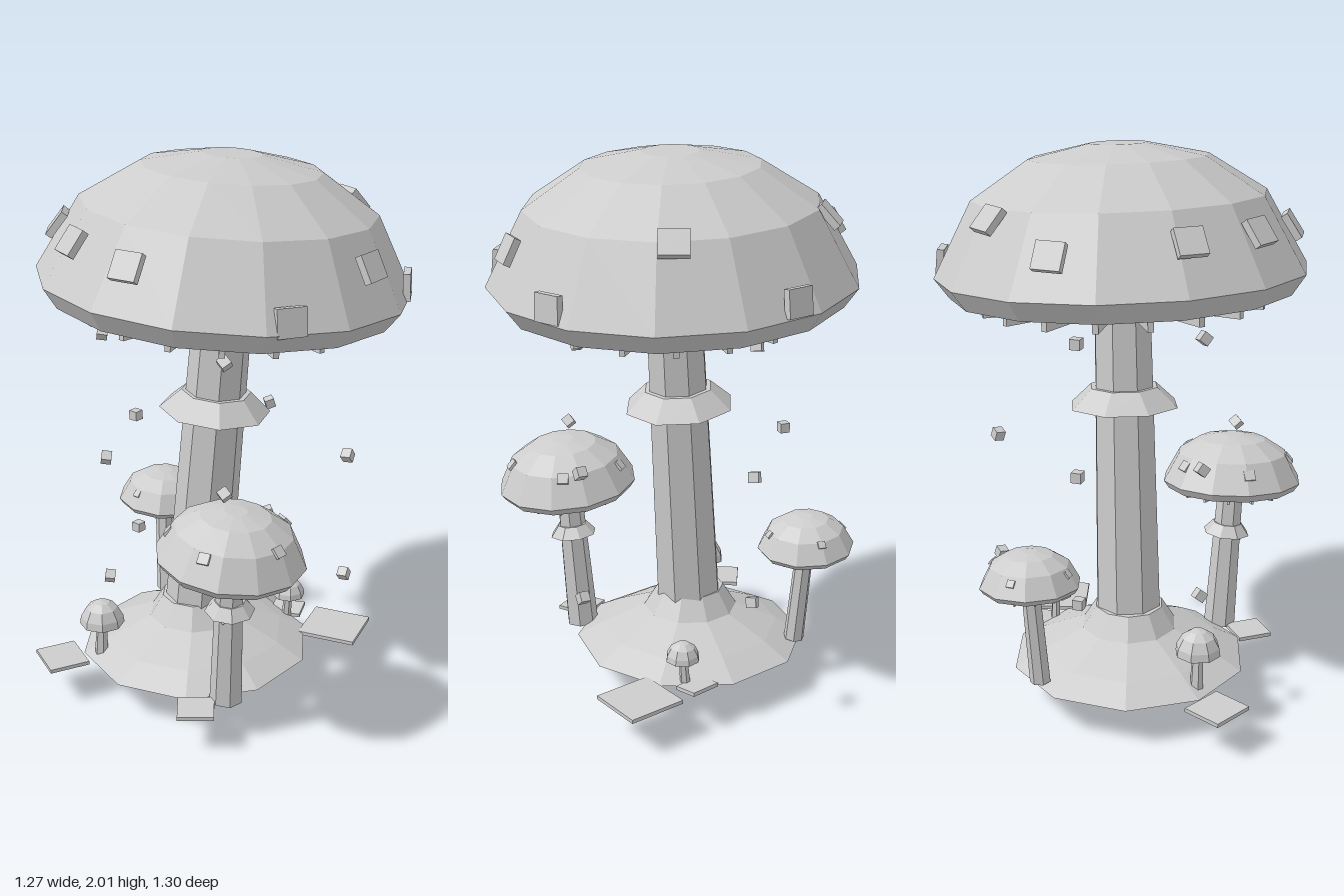
import * as THREE from 'three';

const stone = new THREE.MeshStandardMaterial({ color: 0xcccccc, flatShading: true });
stone.name = 'pale grey';
const V = (x, y, z) => new THREE.Vector3(x, y, z);

function add(parent, name, geometry, pos = [0, 0, 0], rot = [0, 0, 0]) {
  const mesh = new THREE.Mesh(geometry, stone);
  mesh.name = name;
  mesh.position.set(...pos);
  mesh.rotation.set(...rot);
  parent.add(mesh);
  return mesh;
}

const lathe = (points, sides) =>
  new THREE.LatheGeometry(points.map(([r, y]) => new THREE.Vector2(r, y)), sides);

// Tapered post between two points
function post(parent, name, a, b, rBottom, rTop, sides) {
  const from = V(...a), to = V(...b);
  const mesh = add(parent, name, new THREE.CylinderGeometry(rTop, rBottom, from.distanceTo(to), sides));
  mesh.position.copy(from).add(to).multiplyScalar(0.5);
  mesh.quaternion.setFromUnitVectors(V(0, 1, 0), to.sub(from).normalize());
  return mesh;
}

// Faceted cap with a flat underside and radial gills
function cap(parent, pos, tilt, scale, sides, gills) {
  const g = new THREE.Group();
  g.name = 'cap';
  g.position.set(...pos);
  g.rotation.set(...tilt);
  g.scale.setScalar(scale);
  add(g, 'capShell', lathe([[0, -0.08], [0.53, -0.08], [0.6, -0.07], [0.65, 0],
    [0.51, 0.26], [0.31, 0.39], [0.1, 0.435], [0, 0.435]], sides));
  for (let i = 0; i < gills; i++) {
    const a = (i / gills) * Math.PI * 2;
    add(g, 'gill', new THREE.BoxGeometry(0.02, 0.04, 0.41),
      [Math.sin(a) * 0.3, -0.1, Math.cos(a) * 0.3], [0, a, 0]);
  }
  parent.add(g);
  return g;
}

// Square scale lying on the dome, turned to face outward
function patch(parent, center, [x, y, z], size) {
  const mesh = add(parent, 'capPatch', new THREE.BoxGeometry(size, size * 0.95, size * 0.25));
  mesh.removeFromParent();
  mesh.position.set(x, y, z);
  mesh.lookAt(x + x, y + y * 2.1, z + z);
  mesh.position.add(V(...center));
  parent.add(mesh);
}

export function createModel() {
  const model = new THREE.Group();
  model.name = 'mushroomCluster';

  // Ground mound and the bulb below it
  add(model, 'mound', lathe([[0, 0.14], [0.43, 0.14], [0.33, 0.195], [0.175, 0.265],
    [0.125, 0.345], [0, 0.345]], 10), [-0.09, 0, 0.06]);
  add(model, 'rootBulb', lathe([[0, 0], [0.135, 0.06], [0.16, 0.14], [0, 0.14]], 8), [-0.09, 0, 0.06]);

  // Main mushroom
  post(model, 'mainStem', [-0.093, 0.15, 0.062], [0, 1.5, 0], 0.125, 0.103, 8);
  post(model, 'mainCollar', [-0.028, 1.085, 0.018], [-0.023, 1.155, 0.015], 0.2, 0.125, 8);
  const mainCenter = [0, 1.565, 0];
  cap(model, mainCenter, [-0.05, 0, -0.045], 1, 14, 18);
  const mainPatches = [
    [-0.42, 0.205, 0.375], [-0.19, 0.205, 0.535], [0.09, 0.18, 0.575], [0.535, 0.03, 0.32],
    [0.59, 0.14, -0.025], [0.54, 0.01, -0.32], [0.185, 0.225, -0.495], [-0.195, 0.03, -0.595],
    [-0.445, 0.235, -0.295], [-0.59, 0.165, -0.025],
  ];
  for (const p of mainPatches) patch(model, mainCenter, p, 0.1);

  // Two medium mushrooms
  const medium = [
    { foot: [0.266, 0.14, 0.305], center: [0.305, 0.725, 0.328], tilt: [-0.03, 0, -0.1],
      scale: 0.4, r: [0.06, 0.047], sides: 12, gills: 14, patches: 5 },
    { foot: [-0.43, 0.16, -0.152], center: [-0.457, 0.547, -0.172], tilt: [-0.04, 0, -0.06],
      scale: 0.274, r: [0.038, 0.033], sides: 10, gills: 12, patches: 4 },
  ];
  for (const m of medium) {
    post(model, 'mediumStem', m.foot, m.center, m.r[0], m.r[1], 7);
    cap(model, m.center, m.tilt, m.scale, m.sides, m.gills);
    for (let i = 0; i < m.patches; i++) {
      const a = (i / m.patches) * Math.PI * 2 + 0.05;
      const s = m.scale;
      patch(model, m.center, [Math.cos(a) * 0.53 * s, 0.22 * s, Math.sin(a) * 0.53 * s], 0.1 * s);
    }
  }
  post(model, 'mediumCollar', [0.291, 0.51, 0.317], [0.294, 0.55, 0.32], 0.088, 0.055, 8);

  // Two tiny mushrooms
  for (const [x, z, foot, rim, r] of [[-0.27, 0.38, 0.15, 0.285, 0.082], [0.078, -0.3, 0.14, 0.24, 0.062]]) {
    post(model, 'tinyStem', [x - 0.01, foot, z], [x, rim + 0.02, z], r * 0.3, r * 0.24, 6);
    add(model, 'tinyCap', lathe([[0, 0], [r, 0], [r * 0.95, r * 0.35], [r * 0.71, r * 0.78],
      [r * 0.35, r * 1.03], [0, r * 1.1]], 8), [x, rim, z]);
  }

  // Flat slabs around the mound
  for (const [x, y, z, w, d, rx, ry] of [
    [-0.38, 0.142, 0.485, 0.165, 0.15, 0, -0.43],
    [0.23, 0.142, 0.43, 0.13, 0.13, 0, 0.7],
    [0.26, 0.142, -0.355, 0.22, 0.21, 0, 0.3],
    [0.04, 0.146, -0.345, 0.12, 0.09, 0.1, 0.4],
  ]) add(model, 'groundSlab', new THREE.BoxGeometry(w, 0.014, d), [x, y, z], [rx, ry, 0]);

  // Floating spores: three levels of five
  const ring = [[-0.435, 0], [-0.13, -0.43], [0.41, -0.19], [0.29, 0.345], [-0.23, 0.37]];
  for (const y of [0.488, 0.955, 1.415]) {
    ring.forEach(([x, z], i) =>
      add(model, 'spore', new THREE.BoxGeometry(0.036, 0.036, 0.036), [x, y, z], [0.2 * i, 0.9 * i, 0.15 * i]));
  }
  return model;
}
